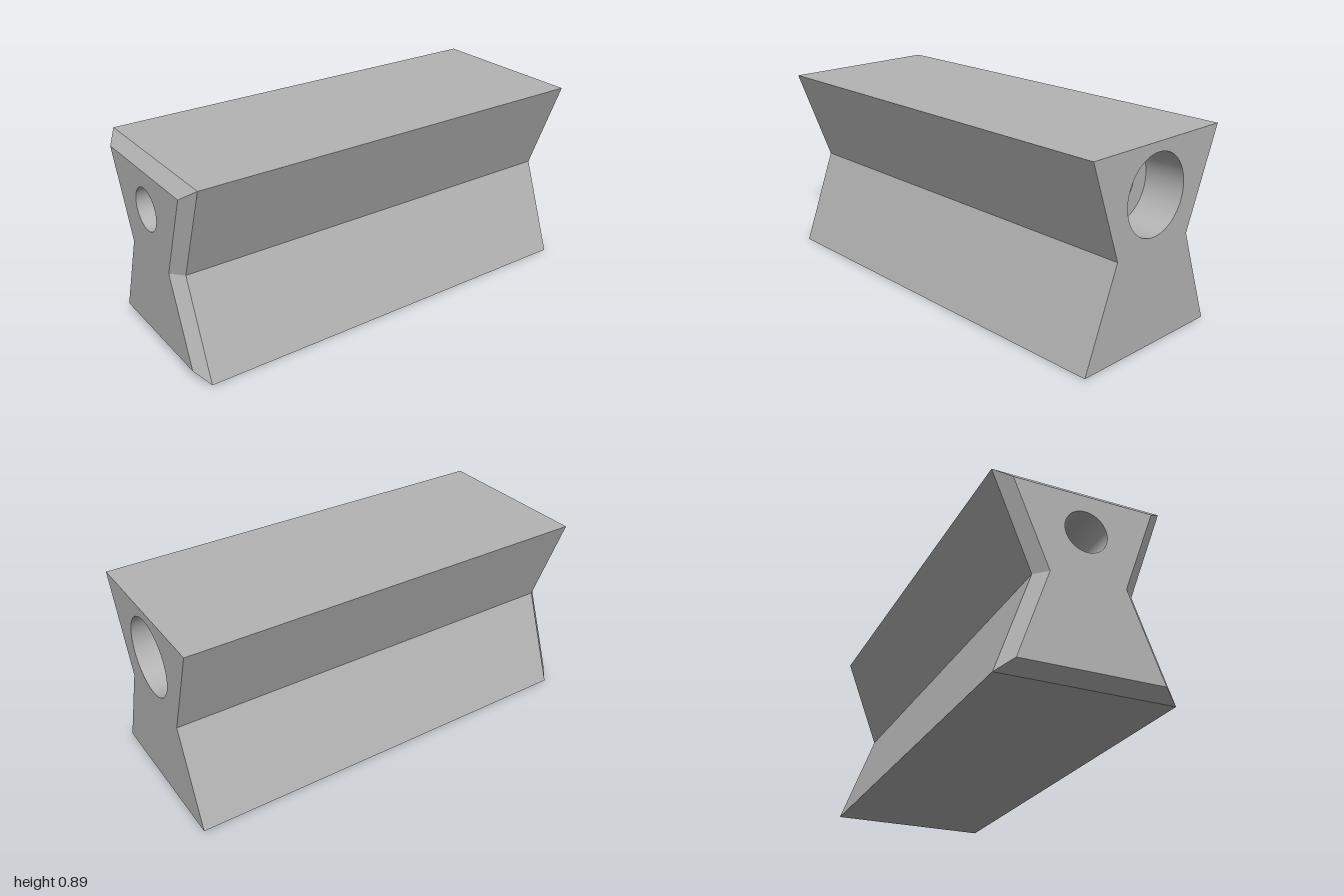
import * as THREE from 'three';
import { toCreasedNormals } from 'three/addons/utils/BufferGeometryUtils.js';

const HOLE_Y = 0.667, BORE_R = 0.178, SHAFT_R = 0.096;
const REAR = -1, CHAMFER_X = -0.95, STEP_X = 0.81, FRONT = 1;

// hourglass cross-section, counter-clockwise seen from +x (u = -z, v = y)
const hourglass = (half, waist, low, high) => [
  [-half, low], [half, low], [waist, 0.445], [half, high], [-half, high], [-waist, 0.445],
].map(([u, v]) => new THREE.Vector2(u, v));

const circle = (r) => Array.from({ length: 64 }, (_, i) => {
  const a = (i / 64) * Math.PI * 2;
  return new THREE.Vector2(r * Math.cos(a), HOLE_Y + r * Math.sin(a));
});

// wall joining two matching loops at x0 and x1
function wall(loop0, x0, loop1, x1, inward = false) {
  const pos = [];
  const n = loop0.length;
  for (let i = 0; i < n; i++) {
    const j = (i + 1) % n;
    const [a, b, c, d] = [[loop0[i], x0], [loop0[j], x0], [loop1[j], x1], [loop1[i], x1]]
      .map(([p, x]) => [x, p.y, -p.x]);
    const order = inward ? [a, c, b, a, d, c] : [a, b, c, a, c, d];
    order.forEach((p) => pos.push(...p));
  }
  const geo = new THREE.BufferGeometry();
  geo.setAttribute('position', new THREE.Float32BufferAttribute(pos, 3));
  return toCreasedNormals(geo, 0.3);
}

// flat face with a round hole, facing +x (side 1) or -x (side -1)
function face(loop, holeR, x, side) {
  const shape = new THREE.Shape(loop);
  shape.holes.push(new THREE.Path(circle(holeR)));
  return new THREE.ShapeGeometry(shape).rotateY(side * Math.PI / 2).translate(x, 0, 0);
}

export function createModel() {
  const group = new THREE.Group();
  group.name = 'boredBlock';
  const grey = new THREE.MeshStandardMaterial({ color: 0xb4b4b4 });
  grey.name = 'plainGrey';
  const add = (name, geo) => {
    const mesh = new THREE.Mesh(geo, grey);
    mesh.name = name;
    group.add(mesh);
  };

  const full = hourglass(0.389, 0.222, 0, 0.889);
  const small = hourglass(0.318, 0.169, 0.05, 0.839);
  const bore = circle(BORE_R), shaft = circle(SHAFT_R);

  // outer body
  add('bodySides', wall(full, CHAMFER_X, full, FRONT));
  add('chamfer', wall(small, REAR, full, CHAMFER_X));
  add('boreEnd', face(full, BORE_R, FRONT, 1));
  add('chamferedEnd', face(small, SHAFT_R, REAR, -1));

  // stepped hole through the block
  add('boreWall', wall(bore, STEP_X, bore, FRONT, true));
  add('boreFloor', face(bore, SHAFT_R, STEP_X, 1));
  add('shaftHole', wall(shaft, REAR, shaft, STEP_X, true));

  return group;
}
